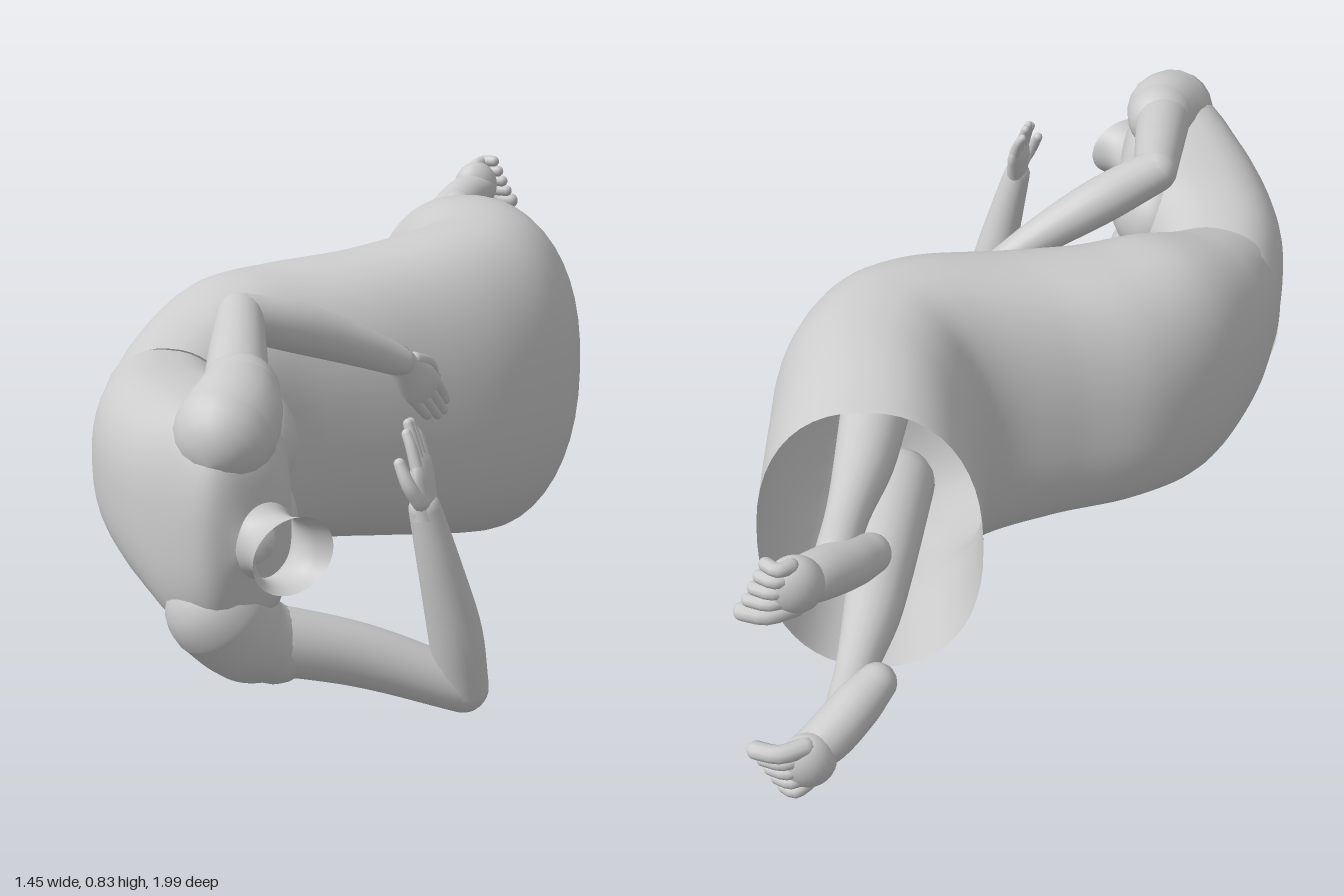
import * as THREE from 'three';

const V = (x, y, z) => new THREE.Vector3(x, y, z);

// Skin through rings {c, u, v}: centre and two half-axes (u x v points along the sweep)
function loft(rings, sides, power = 1) {
  const pos = [], index = [];
  const sp = (t) => Math.sign(t) * Math.abs(t) ** power;
  rings.forEach(({ c, u, v }, i) => {
    for (let j = 0; j < sides; j++) {
      const t = (j / sides) * Math.PI * 2;
      const p = c.clone().addScaledVector(u, sp(Math.cos(t))).addScaledVector(v, sp(Math.sin(t)));
      pos.push(p.x, p.y, p.z);
      if (i === rings.length - 1) continue;
      const a = i * sides + j, b = i * sides + ((j + 1) % sides);
      index.push(a, b, a + sides, b, b + sides, a + sides);
    }
  });
  const g = new THREE.BufferGeometry();
  g.setAttribute('position', new THREE.Float32BufferAttribute(pos, 3));
  g.setIndex(index);
  g.computeVertexNormals();
  return g;
}

// Smooth rings through stations [backX, backZ, frontX, frontZ, yLow, yHigh]
function bodyLoft(stations, steps, power) {
  const back = new THREE.CatmullRomCurve3(stations.map((s) => V(s[0], s[4], s[1])));
  const front = new THREE.CatmullRomCurve3(stations.map((s) => V(s[2], s[5], s[3])));
  const rings = [];
  for (let i = 0; i <= steps; i++) {
    const b = back.getPoint(i / steps), f = front.getPoint(i / steps);
    rings.push({
      c: b.clone().add(f).multiplyScalar(0.5),
      u: V((f.x - b.x) / 2, 0, (f.z - b.z) / 2),
      v: V(0, (b.y - f.y) / 2, 0),
    });
  }
  return loft(rings, 48, power);
}

export function createModel() {
  const model = new THREE.Group();
  const grey = new THREE.MeshStandardMaterial({ color: 0xcccccc, side: THREE.DoubleSide });
  grey.name = 'light clay grey';

  const add = (geometry, name, parent = model) => {
    const m = new THREE.Mesh(geometry, grey);
    m.name = name;
    parent.add(m);
    return m;
  };

  // Rounded limb through points [x, y, z, radius]
  function limb(points, name, parent, sides = 20, steps = 16) {
    const path = new THREE.CatmullRomCurve3(points.map((p) => V(p[0], p[1], p[2])));
    const radius = new THREE.CatmullRomCurve3(points.map((p, i) => V(p[3], i, 0)));
    const rings = [];
    const ring = (t, shift, scale) => {
      const T = path.getTangent(t);
      const ref = Math.abs(T.y) > 0.8 ? V(1, 0, 0) : V(0, 1, 0);
      const u = ref.cross(T).normalize(), v = T.clone().cross(u);
      const r = radius.getPoint(t).x;
      rings.push({
        c: path.getPoint(t).addScaledVector(T, shift * r),
        u: u.multiplyScalar(r * scale), v: v.multiplyScalar(r * scale),
      });
    };
    for (let k = 5; k > 0; k--) ring(0, -Math.sin(k * Math.PI / 10), Math.cos(k * Math.PI / 10));
    for (let i = 0; i <= steps; i++) ring(i / steps, 0, 1);
    for (let k = 1; k <= 5; k++) ring(1, Math.sin(k * Math.PI / 10), Math.cos(k * Math.PI / 10));
    return add(loft(rings, sides), name, parent);
  }

  // Flat palm, four fingers and a thumb on the +side edge
  function hand(wrist, tip, side, name) {
    const g = new THREE.Group();
    g.name = name;
    const d = tip.clone().sub(wrist), s = side.normalize();
    const n = d.clone().cross(s).normalize();
    const at = (along, across, lift = 0) =>
      wrist.clone().addScaledVector(d, along).addScaledVector(s, across).addScaledVector(n, lift);
    const palm = [[-0.1, 0.032, 0.028], [0.1, 0.038, 0.026], [0.35, 0.051, 0.024], [0.52, 0.05, 0.019], [0.62, 0.036, 0.006]];
    add(loft(palm.map(([a, w, t]) => ({ c: at(a, 0), u: s.clone().multiplyScalar(w), v: n.clone().multiplyScalar(-t) })), 20), 'palm', g);
    [0.88, 0.98, 1, 0.92].forEach((len, i) => {
      const x = -0.036 + i * 0.024;
      const pts = [[0.48, 0.95], [0.74, 0.92], [len - 0.04, 0.82]].map(([a, k], q) =>
        [...at(a, x * k, -0.008 * q).toArray(), 0.0135 - q * 0.0015]);
      limb(pts, 'finger', g, 10, 6);
    });
    limb([[...at(0.12, 0.03).toArray(), 0.018], [...at(0.35, 0.055, -0.015).toArray(), 0.015],
      [...at(0.6, 0.054, -0.03).toArray(), 0.012]], 'thumb', g, 10, 6);
    model.add(g);
  }

  // Blouse: broad shoulders down to the waist
  add(bodyLoft([
    [-0.53, 0.90, -0.45, 0.86, 0.42, 0.50],
    [-0.61, 0.88, -0.41, 0.825, 0.28, 0.65],
    [-0.67, 0.79, -0.385, 0.74, 0.215, 0.725],
    [-0.71, 0.66, -0.365, 0.65, 0.235, 0.705],
    [-0.73, 0.50, -0.345, 0.52, 0.25, 0.69],
    [-0.72, 0.32, -0.38, 0.38, 0.255, 0.675],
    [-0.66, 0.11, -0.385, 0.26, 0.25, 0.66],
  ], 40, 0.8), 'blouse');

  // Soft, broad bust
  for (const y of [0.375, 0.555]) {
    const bust = add(new THREE.SphereGeometry(1, 32, 24), 'bust');
    bust.position.set(-0.42, y, 0.52);
    bust.scale.set(0.1, 0.125, 0.15);
  }

  // Long skirt: waist, hips, bent knees, open hem
  add(bodyLoft([
    [-0.67, 0.14, -0.375, 0.28, 0.235, 0.67],
    [-0.60, 0.00, -0.33, 0.25, 0.18, 0.71],
    [-0.47, -0.15, -0.22, 0.21, 0.12, 0.765],
    [-0.30, -0.23, -0.10, 0.19, 0.11, 0.775],
    [-0.10, -0.24, 0.08, 0.17, 0.09, 0.79],
    [0.06, -0.26, 0.32, 0.135, 0.06, 0.82],
    [0.11, -0.29, 0.47, 0.06, 0.04, 0.83],
    [0.13, -0.36, 0.57, -0.09, 0.04, 0.83],
    [0.15, -0.45, 0.61, -0.27, 0.045, 0.82],
    [0.165, -0.57, 0.65, -0.49, 0.06, 0.785],
  ], 64, 0.87), 'skirt');

  // Open neck, flaring at the end
  add(bodyLoft([
    [-0.60, 0.85, -0.40, 0.79, 0.58, 0.34],
    [-0.53, 0.91, -0.405, 0.86, 0.53, 0.39],
    [-0.515, 0.95, -0.39, 0.90, 0.53, 0.39],
    [-0.53, 0.995, -0.35, 0.93, 0.54, 0.38],
  ], 14, 1), 'neck');

  // Upper-side arm, resting along the lap
  limb([[-0.53, 0.665, 0.785, 0.105], [-0.50, 0.69, 0.74, 0.098], [-0.475, 0.71, 0.68, 0.083]], 'sleeve');
  limb([[-0.5, 0.695, 0.74, 0.072], [-0.44, 0.74, 0.52, 0.062], [-0.39, 0.768, 0.335, 0.052]], 'upperArm');
  limb([[-0.39, 0.768, 0.335, 0.052], [-0.25, 0.72, 0.3, 0.057], [-0.1, 0.655, 0.27, 0.046], [0, 0.605, 0.25, 0.034]], 'forearm');
  hand(V(0, 0.605, 0.25), V(0.125, 0.45, 0.21), V(0.75, 0.55, -0.3), 'restingHand');

  // Lower-side arm, bent at the elbow with the hand raised
  limb([[-0.55, 0.29, 0.78, 0.11], [-0.49, 0.22, 0.77, 0.1], [-0.43, 0.185, 0.76, 0.082]], 'sleeve');
  limb([[-0.47, 0.21, 0.765, 0.075], [-0.25, 0.145, 0.775, 0.067], [-0.035, 0.06, 0.81, 0.055]], 'upperArm');
  limb([[-0.035, 0.06, 0.81, 0.055], [-0.06, 0.2, 0.825, 0.057], [-0.1, 0.36, 0.835, 0.045], [-0.13, 0.48, 0.835, 0.034]], 'forearm');
  hand(V(-0.13, 0.48, 0.835), V(-0.135, 0.66, 0.79), V(-0.5, 0, 0.85), 'raisedHand');

  // Legs and feet, mirrored about the body's middle plane; heels turn inward
  for (const [y, out] of [[0.685, 1], [0.235, -1]]) {
    const leg = new THREE.Group();
    leg.name = 'leg';
    leg.position.y = y;
    model.add(leg);
    limb([[0.3, 0, -0.1, 0.085], [0.37, -0.005 * out, -0.38, 0.075], [0.415, -0.01 * out, -0.56, 0.064],
      [0.465, -0.01 * out, -0.72, 0.046], [0.5, -0.01 * out, -0.84, 0.044]], 'shin', leg);
    limb([[0.43, -0.045 * out, -0.81, 0.044], [0.475, -0.028 * out, -0.85, 0.053],
      [0.545, 0, -0.91, 0.053], [0.6, 0.012 * out, -0.945, 0.045]], 'foot', leg);
    const ball = add(new THREE.SphereGeometry(1, 24, 16), 'ballOfFoot', leg);
    ball.position.set(0.59, 0.018 * out, -0.95);
    ball.scale.set(0.06, 0.066, 0.046);
    for (let i = 0; i < 5; i++) {
      const ty = (-0.03 + i * 0.026) * out, r = i === 0 ? 0.02 : 0.015;
      limb([[0.595, ty, -0.96, r * 1.1], [0.65 - i * 0.007, ty * 1.08, -0.975, r], [0.695 - i * 0.013, ty * 1.1, -0.955, r]],
        'toe', leg, 10, 6);
    }
  }
  return model;
}
